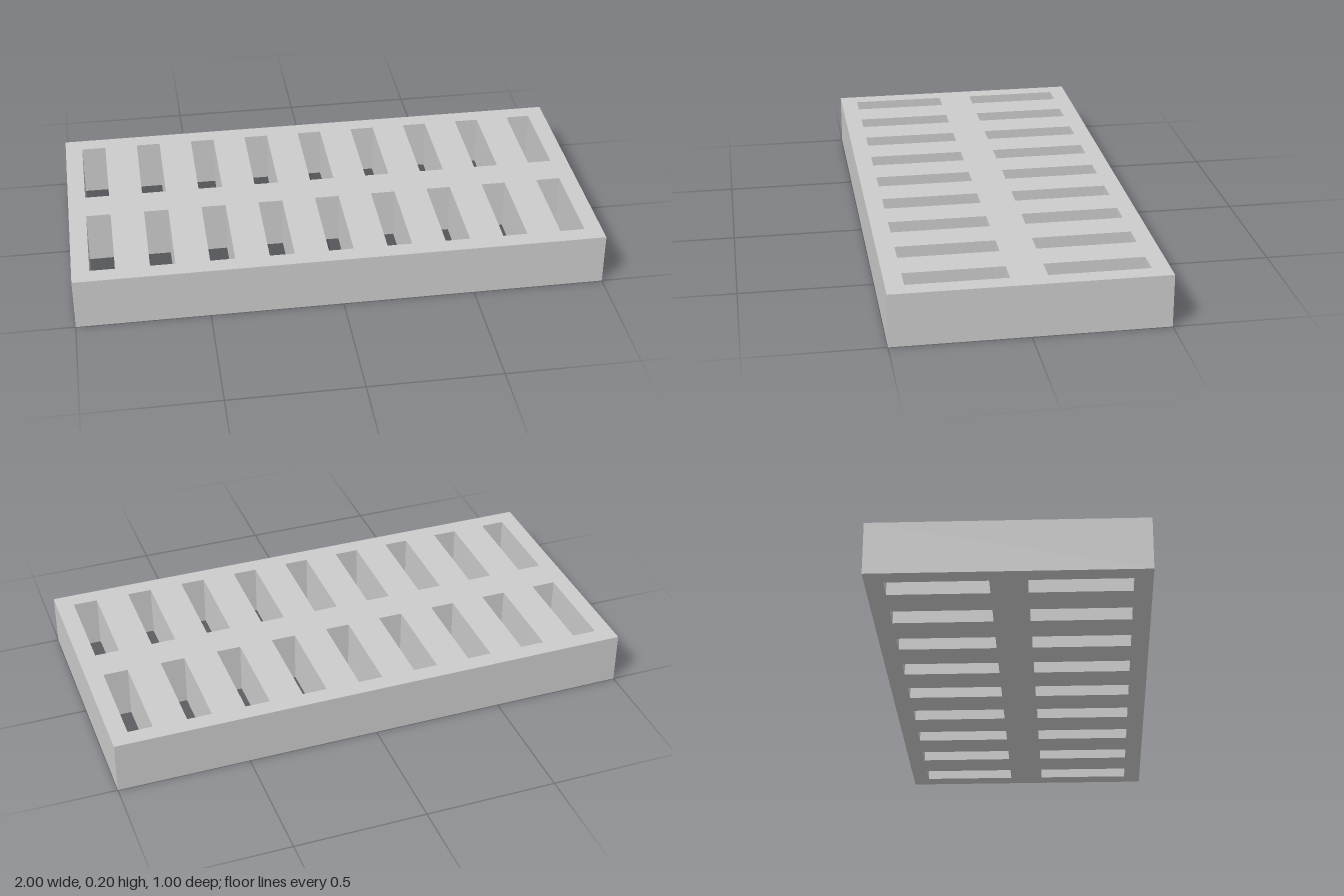
import * as THREE from 'three';

const WIDTH = 2, DEPTH = 1, HEIGHT = 0.2;
const COLUMNS = 9, MARGIN = 1 / 15;
const SLOT_WIDTH = 0.0933, SLOT_DEPTH = 0.3667;

// Traces a centred rectangle on a Shape or Path
function rectangle(path, cx, cy, w, h) {
  path.moveTo(cx - w / 2, cy - h / 2);
  path.lineTo(cx + w / 2, cy - h / 2);
  path.lineTo(cx + w / 2, cy + h / 2);
  path.lineTo(cx - w / 2, cy + h / 2);
  path.closePath();
  return path;
}

export function createModel() {
  const group = new THREE.Group();
  group.name = 'slottedBlock';

  // Outline of the slab
  const outline = rectangle(new THREE.Shape(), 0, 0, WIDTH, DEPTH);

  // Two rows of through slots
  const firstX = -WIDTH / 2 + MARGIN + SLOT_WIDTH / 2;
  const pitch = (-2 * firstX) / (COLUMNS - 1);
  const rowOffset = MARGIN + SLOT_DEPTH / 2;
  for (const side of [-1, 1]) {
    for (let i = 0; i < COLUMNS; i++) {
      outline.holes.push(
        rectangle(new THREE.Path(), firstX + i * pitch, side * rowOffset, SLOT_WIDTH, SLOT_DEPTH)
      );
    }
  }

  // Extrude upwards from the ground
  const geometry = new THREE.ExtrudeGeometry(outline, { depth: HEIGHT, bevelEnabled: false });
  geometry.rotateX(-Math.PI / 2);

  const slab = new THREE.Mesh(geometry, new THREE.MeshStandardMaterial({ color: 0xcccccc }));
  slab.name = 'slottedSlab';
  group.add(slab);
  return group;
}
